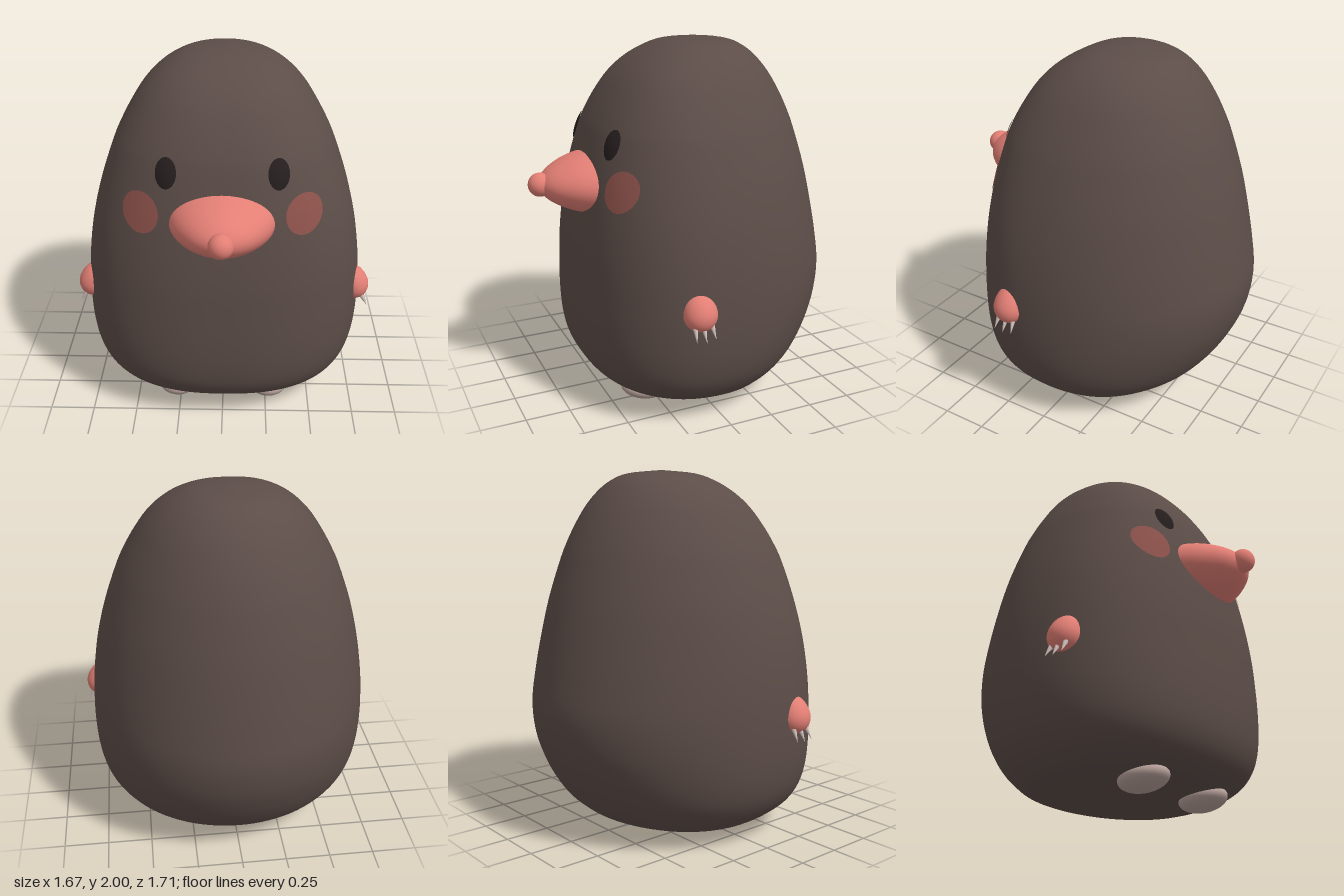
import * as THREE from 'three';

const mat = (name, color) => {
  const m = new THREE.MeshStandardMaterial({ color });
  m.name = name;
  return m;
};

// Body sections: height, half width, front z, back z, z of the widest point
const ROWS = [
  [0.064, 0, -0.1, -0.1, -0.1], [0.064, 0.25, 0.06, -0.26, -0.1],
  [0.064, 0.47, 0.22, -0.42, -0.08], [0.09, 0.575, 0.41, -0.52, -0.05],
  [0.13, 0.635, 0.51, -0.58, -0.02], [0.19, 0.695, 0.575, -0.645, 0],
  [0.28, 0.745, 0.62, -0.71, 0], [0.4, 0.775, 0.64, -0.775, 0],
  [0.55, 0.787, 0.645, -0.83, 0], [0.72, 0.785, 0.64, -0.85, 0],
  [0.9, 0.77, 0.63, -0.825, 0], [1.1, 0.737, 0.605, -0.785, 0],
  [1.3, 0.685, 0.57, -0.737, -0.02], [1.5, 0.615, 0.515, -0.675, -0.03],
  [1.6, 0.57, 0.475, -0.637, -0.04], [1.7, 0.515, 0.42, -0.59, -0.05],
  [1.8, 0.45, 0.35, -0.53, -0.07], [1.88, 0.375, 0.265, -0.465, -0.09],
  [1.94, 0.29, 0.165, -0.395, -0.1], [1.98, 0.185, 0.06, -0.3, -0.11],
  [2, 0, -0.11, -0.11, -0.11],
];
const spline = (f) => new THREE.CatmullRomCurve3(
  ROWS.map((r) => new THREE.Vector3(...f(r))), false, 'catmullrom', 0.5);
const frontCurve = spline((r) => [r[1], r[0], r[2]]);
const backCurve = spline((r) => [r[4], r[0], r[3]]);
const FRONT_POWER = 2.4;

function section(t) {
  const f = frontCurve.getPoint(t), b = backCurve.getPoint(t);
  return { y: f.y, w: Math.max(f.x, 0), front: f.z, back: b.z, mid: b.x };
}

function bodyGeometry(rows = 100, sides = 96) {
  const pos = [], index = [];
  for (let i = 0; i <= rows; i++) {
    const s = section(i / rows);
    for (let j = 0; j < sides; j++) {
      const a = (j / sides) * Math.PI * 2, c = Math.cos(a), d = Math.sin(a);
      const e = 2 / (d > 0 ? FRONT_POWER : 2);
      const x = s.w * Math.sign(c) * Math.abs(c) ** e;
      const depth = d > 0 ? s.front - s.mid : s.mid - s.back;
      pos.push(x, s.y, s.mid + depth * Math.sign(d) * Math.abs(d) ** e);
      if (i === rows) continue;
      const p = i * sides + j, q = i * sides + (j + 1) % sides;
      index.push(p, p + sides, q, q, p + sides, q + sides);
    }
  }
  const g = new THREE.BufferGeometry();
  g.setAttribute('position', new THREE.Float32BufferAttribute(pos, 3));
  g.setIndex(index);
  g.computeVertexNormals();
  return g;
}

// Front surface of the body at (x, y)
function frontZ(x, y) {
  let lo = 0.3, hi = 1;
  for (let k = 0; k < 30; k++) {
    const m = (lo + hi) / 2;
    if (section(m).y < y) lo = m; else hi = m;
  }
  const s = section(lo);
  const u = Math.min(Math.abs(x) / s.w, 1);
  return s.mid + (s.front - s.mid) * (1 - u ** FRONT_POWER) ** (1 / FRONT_POWER);
}

// Oval patch laid over the face, optionally domed
function facePatch(cx, cy, rx, ry, tilt, dome) {
  const g = new THREE.RingGeometry(0, 1, 40, 8);
  const p = g.attributes.position;
  for (let i = 0; i < p.count; i++) {
    const u = p.getX(i), v = p.getY(i);
    const x = cx + u * rx * Math.cos(tilt) - v * ry * Math.sin(tilt);
    const y = cy + u * rx * Math.sin(tilt) + v * ry * Math.cos(tilt);
    p.setXYZ(i, x, y, frontZ(x, y) + 0.005 + dome * (1 - u * u - v * v));
  }
  g.computeVertexNormals();
  return g;
}

export function createModel() {
  const fur = mat('brown fur', 0x5c4d48);
  const pink = mat('pink skin', 0xe37f75);
  const blush = mat('cheek blush', 0x8f534c);
  const dark = mat('dark eye', 0x261e1f);
  const sole = mat('pale foot', 0xb59f99);
  const horn = mat('claw', 0xd0c0bb);

  const model = new THREE.Group();
  model.name = 'mole';
  const add = (name, geometry, material, parent = model) => {
    const m = new THREE.Mesh(geometry, material);
    m.name = name;
    parent.add(m);
    return m;
  };

  add('body', bodyGeometry(), fur);

  // Wide oval snout with a round tip
  const profile = new THREE.SplineCurve([
    [0.285, -0.06], [0.274, 0], [0.238, 0.08], [0.187, 0.15], [0.128, 0.205], [0.06, 0.24], [0, 0.25],
  ].map((p) => new THREE.Vector2(...p))).getPoints(32);
  profile[32].x = 0;
  const snoutShape = new THREE.LatheGeometry(profile, 64);
  snoutShape.rotateX(Math.PI / 2);
  snoutShape.scale(1, 0.6, 1);
  add('snout', snoutShape, pink).position.set(0, 1.241, 0.545);
  add('noseTip', new THREE.SphereGeometry(0.065, 32, 24), pink).position.set(0, 1.25, 0.79);

  // Hand: egg with a longer upper half
  const palm = new THREE.SphereGeometry(1, 32, 24);
  const pp = palm.attributes.position;
  for (let i = 0; i < pp.count; i++) {
    const y = pp.getY(i);
    pp.setXYZ(i, pp.getX(i) * 0.085, y * (y > 0 ? 0.122 : 0.09), pp.getZ(i) * 0.091);
  }
  palm.computeVertexNormals();

  for (const side of [1, -1]) {
    const label = side > 0 ? 'left' : 'right';
    add(label + 'Eye', facePatch(side * 0.287, 1.498, 0.055, 0.077, side * 0.12, 0.01), dark);
    add(label + 'Cheek', facePatch(side * 0.424, 1.283, 0.097, 0.106, side * 0.1, 0), blush);

    // Hands lean in at the top, claws splay outward
    const hand = new THREE.Group();
    hand.name = label + 'Hand';
    hand.position.set(side * 0.748, 0.692, 0.192);
    hand.rotation.z = side * 0.4;
    model.add(hand);
    add('palm', palm, pink, hand);
    for (const k of [-1, 0, 1]) {
      const claw = add('claw', new THREE.ConeGeometry(0.015, 0.08, 12), horn, hand);
      claw.position.set(side * 0.022, -0.108 + 0.008 * Math.abs(k), k * 0.05);
      claw.rotation.set(-k * 0.1, 0, Math.PI + side * 0.12);
    }

    const foot = add(label + 'Foot', new THREE.SphereGeometry(1, 32, 24), sole);
    foot.scale.set(0.118, 0.066, 0.14);
    foot.position.set(side * 0.265, 0.07, 0.305);
    foot.rotation.x = -0.12;
  }
  return model;
}
